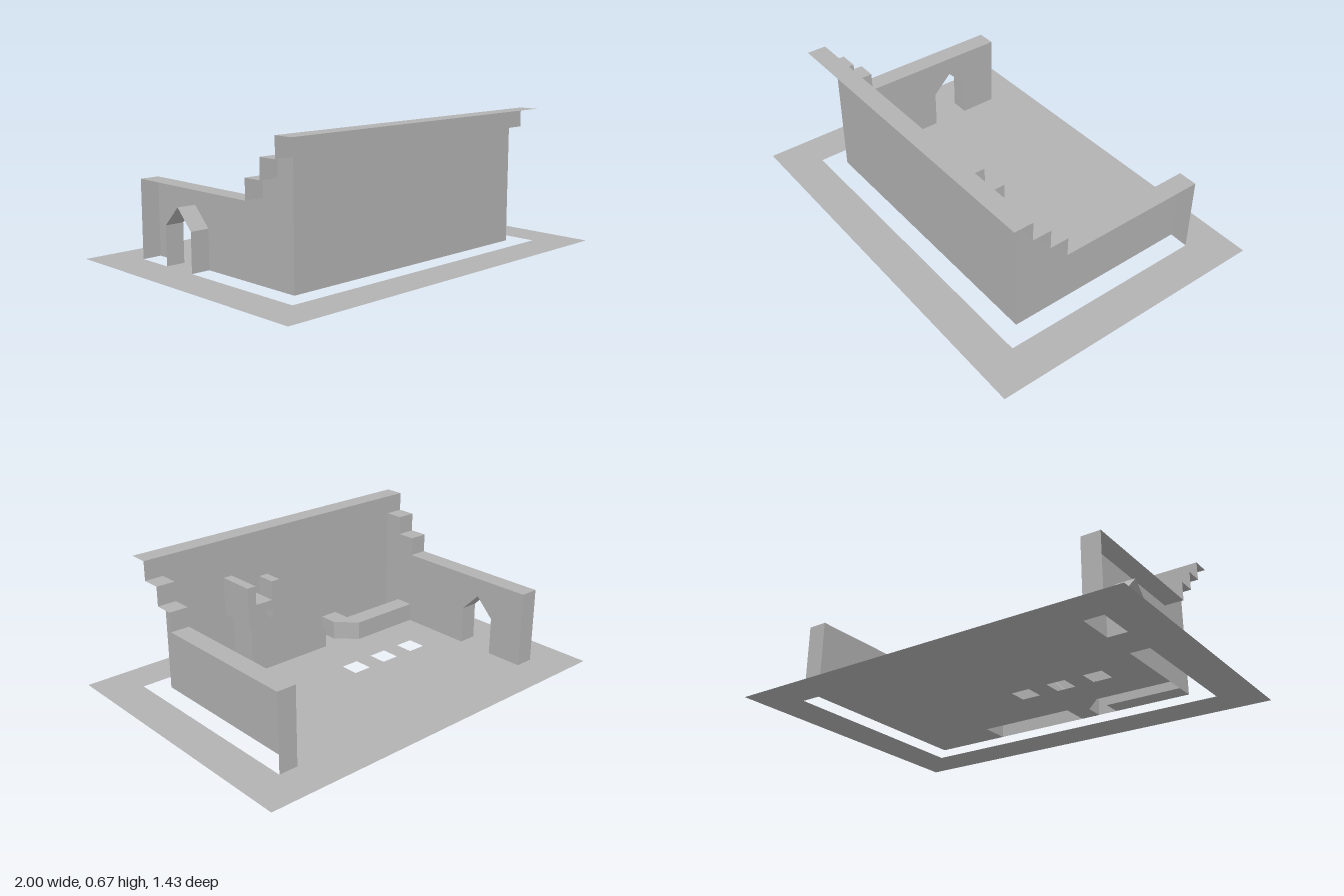
import * as THREE from 'three';

const U = 2 / 21; // grid module: the floor is 21 x 15 modules

export function createModel() {
  const model = new THREE.Group();
  const grey = new THREE.MeshStandardMaterial({ color: 0xb2b2b2, side: THREE.DoubleSide });
  grey.name = 'stone grey';

  // Places 2D coordinates (a, b) at depth c along an axis: x -> (z, y), y -> (x, z), z -> (x, y)
  const place = {
    x: (a, b, c) => [c * U, b * U, a * U],
    y: (a, b, c) => [a * U, c * U, b * U],
    z: (a, b, c) => [a * U, b * U, c * U],
  };
  const add = (name, geometry) => {
    const mesh = new THREE.Mesh(geometry, grey);
    mesh.name = name;
    model.add(mesh);
    return mesh;
  };
  const vecs = (pts) => pts.map(([a, b]) => new THREE.Vector2(a, b));
  const rect = (a0, b0, a1, b1) => [[a0, b0], [a1, b0], [a1, b1], [a0, b1]];

  // Flat sheet with optional holes, perpendicular to an axis
  function sheet(name, axis, c, outline, holes = []) {
    const shape = new THREE.Shape(vecs(outline));
    shape.holes = holes.map((h) => new THREE.Path(vecs(h)));
    const geo = new THREE.ShapeGeometry(shape);
    const pos = geo.attributes.position;
    for (let i = 0; i < pos.count; i++) {
      pos.setXYZ(i, ...place[axis](pos.getX(i), pos.getY(i), c));
    }
    if (axis !== 'z') geo.index.array.reverse();
    geo.computeVertexNormals();
    return add(name, geo);
  }

  // Folded sheet: a polyline swept along an axis from c0 to c1
  function fold(name, axis, c0, c1, line) {
    const p = [];
    for (let i = 0; i + 1 < line.length; i++) {
      const [a, b] = [line[i], line[i + 1]];
      const q = [[a, c0], [b, c0], [b, c1], [a, c1]].map(([v, c]) => place[axis](v[0], v[1], c));
      for (const k of [0, 1, 2, 0, 2, 3]) p.push(...q[k]);
    }
    const geo = new THREE.BufferGeometry();
    geo.setAttribute('position', new THREE.Float32BufferAttribute(p, 3));
    geo.computeVertexNormals();
    return add(name, geo);
  }

  function box(name, x0, y0, z0, x1, y1, z1) {
    const geo = new THREE.BoxGeometry((x1 - x0) * U, (y1 - y0) * U, (z1 - z0) * U);
    add(name, geo).position.set((x0 + x1) * U / 2, (y0 + y1) * U / 2, (z0 + z1) * U / 2);
  }

  // Floor, open under the hollow walls, stair and basin, with three square drains
  const footprint = [
    [-8.5, 5.5], [8.5, 5.5], [8.5, -5.5], [7.5, -5.5], [7.5, 4.5], [3.5, 4.5], [3.5, 3],
    [-1.5, 3], [-1.5, 4.5], [-2.5, 4.5], [-2.5, 3.5], [-3.5, 2.5], [-7.5, 2.5],
    [-7.5, -1.5], [-8.5, -1.5],
  ];
  const drains = [-5.5, -3.5, -1.5].map((x) => rect(x, -0.5, x + 1, 0.5));
  sheet('floor', 'y', 0, rect(-10.5, -7.5, 10.5, 7.5),
    [footprint, rect(-8.5, -5.5, -7.5, -3.5), ...drains]);

  // Front wall: inner face and coping
  sheet('frontWall', 'z', 4.5, rect(-7.5, 0, 7.5, 7));
  sheet('frontCoping', 'y', 7, rect(-8.5, 4.5, 8.5, 5.5));

  // Side walls with stepped tops; the right one has a gabled doorway
  const steps = [[-5.5, 0], [-5.5, 4], [2.5, 4], [2.5, 5], [3.5, 5], [3.5, 6], [4.5, 6]];
  const doorway = [[-1.5, 0], [-1.5, 2], [-2.5, 3], [-3.5, 2], [-3.5, 0]];
  for (const s of [1, -1]) {
    const side = s > 0 ? 'left' : 'right';
    sheet(side + 'Wall', 'x', s * 7.5, [...steps, [4.5, 0], ...(s < 0 ? doorway : [])]);
    fold(side + 'WallTop', 'x', s * 7.5, s * 8.5, [...steps, [4.5, 7]]);
  }
  fold('doorwayLining', 'x', -8.5, -7.5, doorway);

  // Stair ramp with a sloping parapet
  sheet('stairSide', 'z', 3, [[-1.5, 0], [-1.5, 1], [2, 4.5], [2, 4], [3.5, 4], [3.5, 0]]);
  sheet('parapetInside', 'z', 3.5, [[-1.5, 0], [-1.5, 1], [2, 4.5], [2.5, 4]]);
  fold('parapetTop', 'z', 3, 3.5, [[-1.5, 0], [-1.5, 1], [2, 4.5]]);
  fold('stairRamp', 'z', 3.5, 4.5, [[-1.5, 0], [2.5, 4]]);
  fold('stairEnd', 'z', 3, 4.5, [[3.5, 0], [3.5, 3.5]]);

  // Landing at the top of the stair
  box('landingSlab', 2.5, 3.5, 2.5, 3.5, 4, 4.5);
  box('landingRail', 3.5, 3, 2.5, 4, 5, 4.5);
  box('landingPost', 2, 3, 2.5, 2.5, 5, 3.5);

  // Corner basin with a chamfered rim
  const outer = [[-7.5, 2.5], [-3.5, 2.5], [-2.5, 3.5], [-2.5, 4.5]];
  const inner = [[-3.5, 4.5], [-3.5, 3.5], [-7.5, 3.5]];
  sheet('basinRim', 'y', 1, [...outer, ...inner]);
  fold('basinOutside', 'y', 0, 1, outer);
  fold('basinInside', 'y', 0, 1, inner);
  sheet('basinFloor', 'y', 0, rect(-7.5, 3.5, -3.5, 4.5));

  return model;
}
